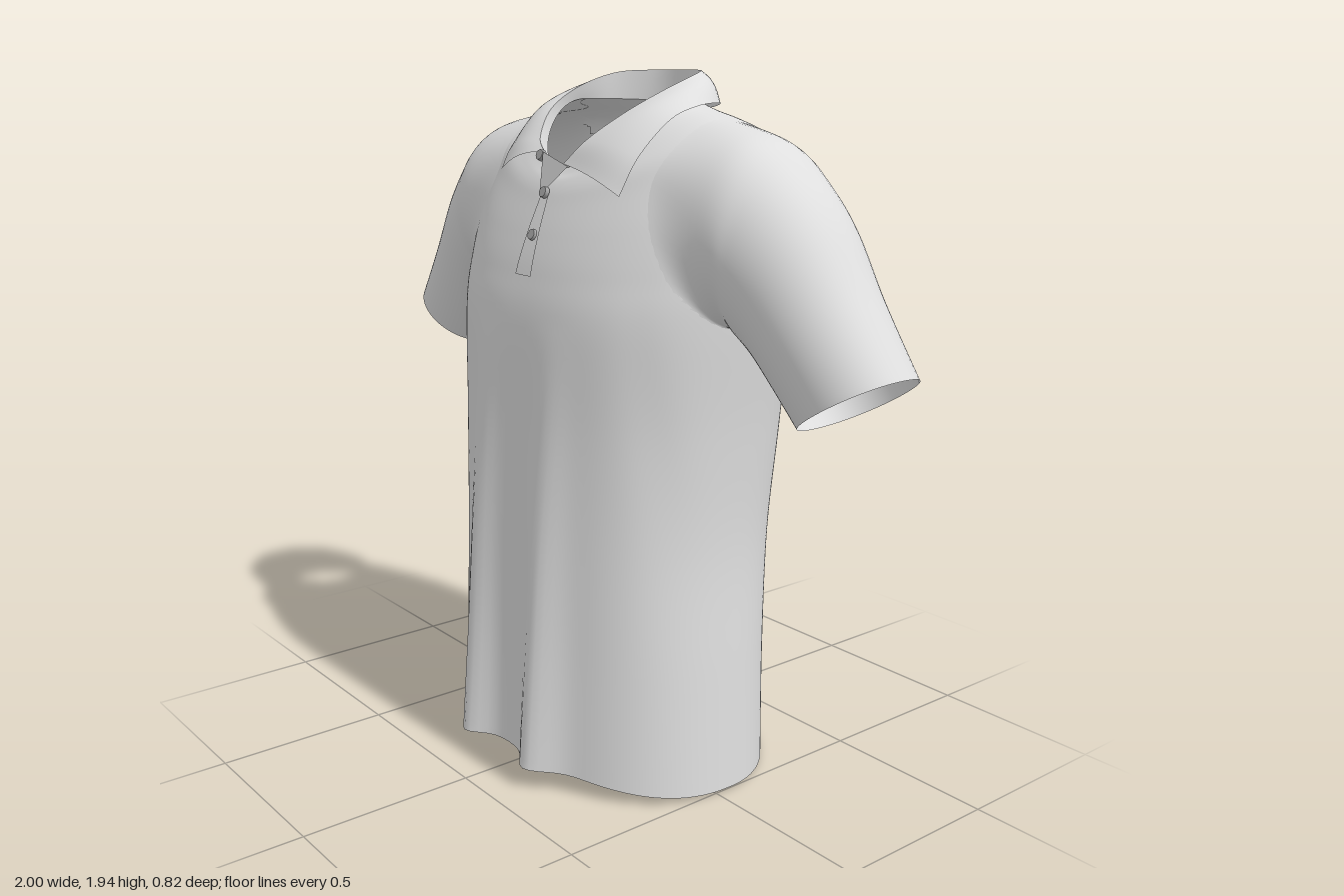
import * as THREE from 'three';

const fabric = new THREE.MeshStandardMaterial({ color: 0xdedede, side: THREE.DoubleSide });
fabric.name = 'light grey fabric';
const buttonGrey = new THREE.MeshStandardMaterial({ color: 0xa4a4a4 });
buttonGrey.name = 'button grey';

// Smooth interpolation through rows of numbers, t from 0 to 1
function sampleRows(rows, t) {
  const f = Math.min(t, 0.99999) * (rows.length - 1);
  const i = Math.floor(f), k = f - i;
  const at = (j) => rows[Math.max(0, Math.min(rows.length - 1, j))];
  const [a, b, c, d] = [at(i - 1), at(i), at(i + 1), at(i + 2)];
  return b.map((p, j) => p + 0.5 * k * (c[j] - a[j]
    + k * (2 * a[j] - 5 * p + 4 * c[j] - d[j] + k * (3 * (p - c[j]) + d[j] - a[j]))));
}

// Grid surface from point(u, v); a closed grid shares its first and last column,
// and cells inside an opening are left out
function surface(name, point, nu, nv, closed, opening = () => false) {
  const pos = [], index = [], cols = closed ? nu : nu + 1;
  for (let j = 0; j <= nv; j++)
    for (let i = 0; i < cols; i++) pos.push(...point(i / nu, j / nv));
  for (let j = 0; j < nv; j++)
    for (let i = 0; i < nu; i++) {
      if (opening((i + 0.5) / nu, (j + 0.5) / nv)) continue;
      const a = j * cols + i, b = j * cols + (i + 1) % cols;
      index.push(a, a + cols, b, b, a + cols, b + cols);
    }
  const g = new THREE.BufferGeometry();
  g.setAttribute('position', new THREE.Float32BufferAttribute(pos, 3));
  g.setIndex(index);
  g.computeVertexNormals();
  const mesh = new THREE.Mesh(g, fabric);
  mesh.name = name;
  return mesh;
}

// Body rings: front y, side y, back y, half width, front z, back z, middle z,
// front squareness, back squareness
const bodyRows = [
  [0.07, 0.015, 0.005, 0.51, 0.35, -0.405, -0.05, 2.35, 1.95],
  [0.38, 0.36, 0.36, 0.49, 0.34, -0.405, -0.05, 2.4, 2.05],
  [0.70, 0.69, 0.69, 0.472, 0.33, -0.405, -0.05, 2.5, 2.3],
  [1.00, 1.00, 1.00, 0.485, 0.315, -0.41, -0.06, 2.55, 2.55],
  [1.28, 1.30, 1.32, 0.515, 0.30, -0.41, -0.07, 2.5, 2.6],
  [1.42, 1.45, 1.50, 0.525, 0.272, -0.398, -0.075, 2.35, 2.45],
  [1.52, 1.60, 1.63, 0.52, 0.24, -0.378, -0.08, 2.15, 2.3],
  [1.60, 1.72, 1.73, 0.50, 0.208, -0.345, -0.09, 1.95, 2.15],
  [1.635, 1.79, 1.785, 0.46, 0.193, -0.322, -0.09, 1.87, 2.1],
  [1.66, 1.82, 1.815, 0.38, 0.178, -0.302, -0.09, 1.85, 2.05],
  [1.675, 1.845, 1.838, 0.27, 0.163, -0.283, -0.09, 1.95, 2.05],
  [1.69, 1.865, 1.86, 0.205, 0.15, -0.268, -0.09, 2, 2],
];
const bump = (d, width) => Math.exp(-((d / width) ** 2));

function bodyPoint(u, v) {
  const [yf, ys, yb, w, zf, zb, zm, nf, nb] = sampleRows(bodyRows, v);
  const c = Math.cos(u * Math.PI * 2), s = Math.sin(u * Math.PI * 2);
  const n = s > 0 ? nf : nb;
  const x = w * Math.sign(c) * Math.abs(c) ** (2 / n);
  const side = Math.abs(s) ** (2 / n);
  const y = ys + ((s > 0 ? yf : yb) - ys) * s * s;
  let z = zm + ((s > 0 ? zf : zb) - zm) * side;
  // Hanging folds, fading upwards
  const fade = Math.max(0, 1 - y / 1.3), ax = Math.abs(x);
  if (s > 0) {
    z += 0.07 * fade * bump(ax - 0.15, 0.065);
    z -= 0.02 * bump(y - 0.75, 0.42) * bump(ax - 0.56 + 0.12 * y, 0.05) * side;
  } else {
    z -= 0.012 * bump(y - 0.7, 0.7) * bump(ax - 0.22, 0.09);
    z += 0.03 * bump(y - 0.6, 0.6) * bump(x, 0.09);
  }
  return [x, y, z];
}

// Armhole: an ellipse drawn on the body's side, in body (u, v)
const hole = { v: 0.6, ru: 0.13, rv: 0.235 };
function armholePoint(angle, scale) {
  return bodyPoint(hole.ru * scale * Math.sin(angle), hole.v + hole.rv * scale * Math.cos(angle));
}
function insideArmhole(u, v) {
  const du = ((u * 2 + 0.5) % 1 - 0.5) / 2;
  return Math.hypot(du / hole.ru, (v - hole.v) / hole.rv) < 0.9;
}

// Sleeve rings, shoulder to cuff: top x, top y, bottom x, bottom y, middle z, half depth
const sleeveRows = [
  [0.54, 1.785, 0.53, 1.29, -0.09, 0.212],
  [0.65, 1.71, 0.555, 1.265, -0.092, 0.199],
  [0.755, 1.60, 0.60, 1.225, -0.094, 0.183],
  [0.87, 1.43, 0.655, 1.165, -0.093, 0.163],
  [1.00, 1.25, 0.73, 1.08, -0.095, 0.148],
];
// The sleeve leaves the armhole in line with the body cloth
function sleevePoint(u, v, mirror) {
  const angle = u * Math.PI * 2, k = (1 + Math.cos(angle)) / 2, s = Math.sin(angle);
  const rings = [armholePoint(angle, 1.08), armholePoint(angle, 1),
    ...sleeveRows.map(([tx, ty, bx, by, zm, hz]) => [
      bx + (tx - bx) * k, by + (ty - by) * k, zm + hz * Math.sign(s) * Math.abs(s) ** 0.9])];
  const last = rings.length - 1;
  const [x, y, z] = sampleRows(rings, (1 + v * (last - 1)) / last);
  return [mirror * x, y, z];
}

// Collar curves, from the front edge round to the middle of the back
const foldLine = [[0.045, 1.705, 0.175], [0.1, 1.765, 0.145], [0.165, 1.84, 0.06],
  [0.192, 1.90, -0.06], [0.175, 1.938, -0.18], [0.095, 1.945, -0.255], [0, 1.945, -0.272]];
const outerLine = [[0.275, 1.635, 0.17], [0.285, 1.73, 0.117], [0.295, 1.825, 0.015],
  [0.288, 1.855, -0.08], [0.237, 1.86, -0.205], [0.125, 1.845, -0.28], [0, 1.835, -0.296]];

// Full curve; the wearer's right front edge sits a little higher
function collarCurve(half, lift) {
  const right = half.map(([x, y, z], i) => [-x * (i ? 1 : 0.92), y + (i ? 0 : lift), z]);
  const pts = [...right, ...half.slice(0, -1).reverse()];
  return new THREE.CatmullRomCurve3(pts.map((p) => new THREE.Vector3(...p)));
}
const fold = collarCurve(foldLine, 0.03), outer = collarCurve(outerLine, 0.04);

function flapPoint(u, v) {
  const p = fold.getPoint(u).lerp(outer.getPoint(u), v);
  const puff = 0.018 * Math.sin(Math.PI * v);
  return [p.x * (1 + puff), p.y + puff * 0.7, p.z + puff * Math.sin(Math.PI * (0.5 - 2 * Math.min(u, 1 - u))) * 0.6];
}
// The stand joins the fold to the neck ring of the body
function standPoint(u, v) {
  return fold.getPoint(u).lerp(new THREE.Vector3(...bodyPoint(0.25 + u, 1)), v).toArray();
}

export function createModel() {
  const shirt = new THREE.Group();
  shirt.name = 'poloShirt';
  shirt.add(surface('body', bodyPoint, 160, 88, true, insideArmhole));
  for (const [name, m] of [['leftSleeve', 1], ['rightSleeve', -1]])
    shirt.add(surface(name, (u, v) => sleevePoint(u, v, m), 56, 40, true));

  shirt.add(surface('collarFlap', flapPoint, 96, 8, false));
  shirt.add(surface('collarStand', standPoint, 96, 4, false));

  // Front placket, lying just over the chest
  shirt.add(surface('placket', (u, v) => {
    const [x, y, z] = bodyPoint(0.25 + (0.5 - u) * 0.013, 0.45 + v * 0.27);
    return [x, y, z + 0.005];
  }, 4, 16, false));

  // Open corner of the neck stand
  const corner = new THREE.BufferGeometry();
  corner.setAttribute('position', new THREE.Float32BufferAttribute(
    [-0.02, 1.62, 0.207, 0.075, 1.70, 0.182, -0.015, 1.735, 0.197], 3));
  corner.computeVertexNormals();
  const cornerMesh = new THREE.Mesh(corner, fabric);
  cornerMesh.name = 'openNeckCorner';
  shirt.add(cornerMesh);

  // Buttons
  for (const [x, y, z] of [[-0.035, 1.725, 0.19], [0.003, 1.63, 0.208], [0.003, 1.52, 0.247]]) {
    const button = new THREE.Mesh(new THREE.CylinderGeometry(0.014, 0.016, 0.012, 20), buttonGrey);
    button.name = 'button';
    button.position.set(x, y, z);
    button.rotation.x = Math.PI / 2 - 0.35;
    shirt.add(button);
  }
  return shirt;
}
